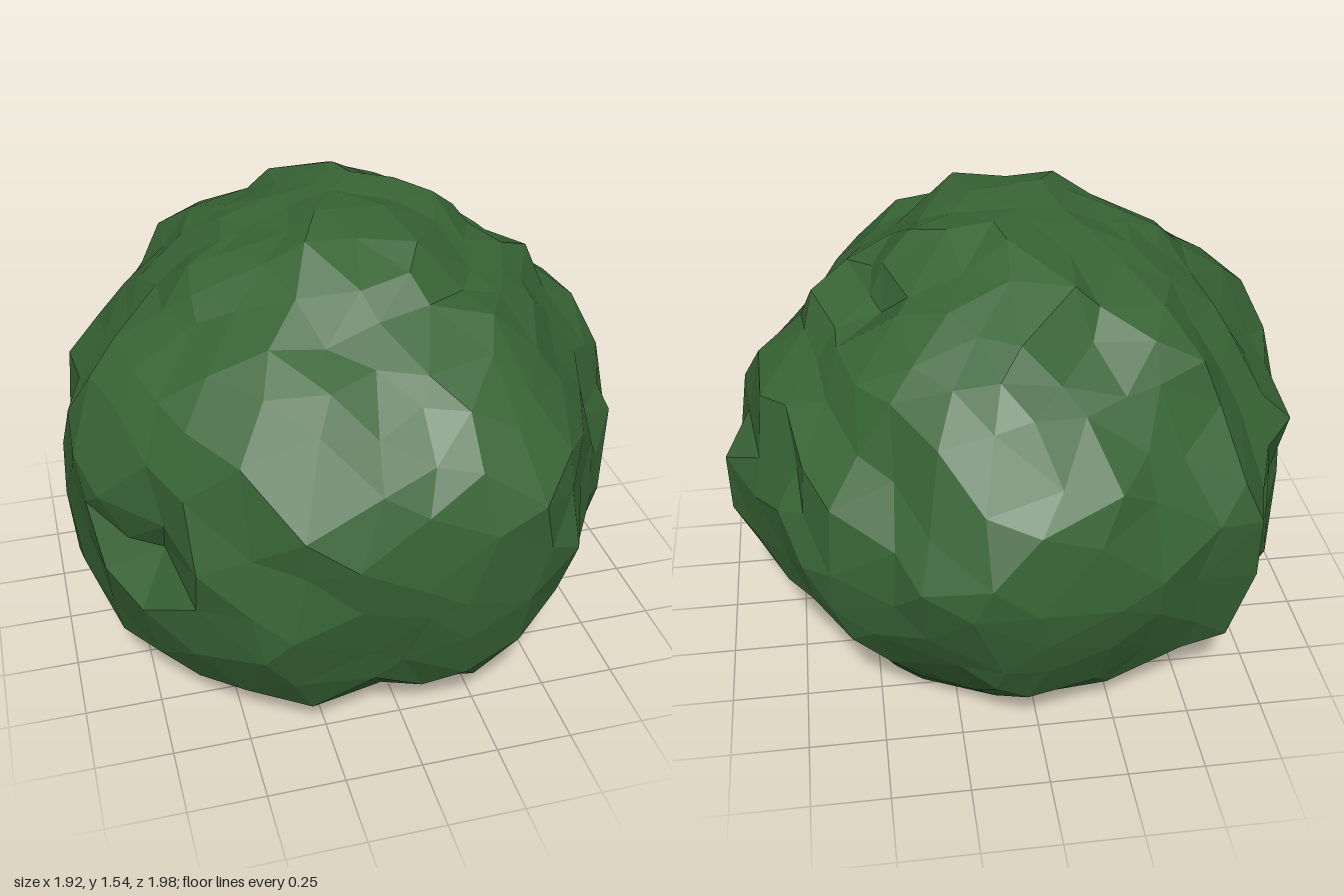
import * as THREE from 'three';

const CENTRE_Y = 0.72;
const BASE_RADIUS = 0.6;

// Outline profiles [distance from axis, height] from crown to base
const PROFILES = {
  right: [[0, 1.52], [0.06, 1.52], [0.35, 1.45], [0.48, 1.34], [0.6, 1.31], [0.7, 1.15], [0.86, 1.04], [0.9, 0.86], [0.98, 0.76], [0.99, 0.6], [0.96, 0.5], [0.82, 0.3], [0.59, 0]],
  left: [[0, 1.51], [0.2, 1.52], [0.33, 1.42], [0.43, 1.42], [0.6, 1.28], [0.82, 1.16], [0.9, 1.02], [0.99, 0.84], [0.95, 0.68], [1, 0.5], [0.86, 0.16], [0.63, 0]],
  front: [[0, 1.52], [0.4, 1.49], [0.5, 1.37], [0.63, 1.31], [0.8, 1.16], [0.9, 1.06], [1, 0.9], [0.99, 0.7], [0.96, 0.5], [0.88, 0.22], [0.7, 0.05], [0.6, 0]],
  back: [[0, 1.52], [0.38, 1.47], [0.65, 1.32], [0.83, 1.14], [0.93, 1], [1, 0.76], [0.86, 0.27], [0.58, 0]],
};

// Plan outline [x, z]
const PLAN = [[0.98, 0.13], [0.83, 0.33], [0.7, 0.58], [0.64, 0.73], [0.52, 0.87], [0.28, 0.98], [-0.1, 0.95], [-0.26, 1], [-0.4, 0.97],
  [-0.57, 0.89], [-0.76, 0.64], [-0.92, 0.5], [-0.93, 0.35], [-0.99, 0.18], [-0.94, -0.12], [-0.92, -0.32], [-0.74, -0.54], [-0.7, -0.77],
  [-0.39, -0.84], [-0.31, -0.94], [-0.12, -0.96], [0.06, -1], [0.2, -0.98], [0.4, -0.88], [0.5, -0.79], [0.62, -0.77], [0.68, -0.7], [0.81, -0.46], [0.93, -0.3]];

// Hollows between leaf clumps (negative depth swells): [x, y, z, depth, angular width]
const HOLLOWS = [[-0.42, 0.78, 0.85, 0.07, 0.15], [-0.78, 1.1, -0.1, 0.11, 0.16], [0.5, 1.3, -0.2, 0.07, 0.14], [0.92, 0.72, 0.03, 0.06, 0.12],
  [0.85, 0.62, -0.35, 0.06, 0.13], [-0.15, 1.35, -0.7, 0.07, 0.14], [0.55, 1.05, -0.68, 0.06, 0.13], [-0.25, 1.5, 0.1, 0.03, 0.12],
  [-0.2, 1.3, 0.58, 0.04, 0.13], [-0.2, 1.5, 0.38, -0.04, 0.14], [0.6, 0.75, 0.7, 0.04, 0.13], [-0.74, 0.72, 0.55, 0.07, 0.16], [-0.55, 1.05, -0.6, 0.08, 0.15]]
  .map(([x, y, z, depth, width]) => ({ dir: new THREE.Vector3(x, y - CENTRE_Y, z).normalize(), depth, width }));

const polar = points => points.map(([a, b]) => [Math.atan2(b, a), Math.hypot(a, b)]).sort((p, q) => p[0] - q[0]);

function lookUp(table, angle) {
  if (angle <= table[0][0]) return table[0][1];
  for (let i = 1; i < table.length; i++) {
    const [a0, r0] = table[i - 1], [a1, r1] = table[i];
    if (angle <= a1) return THREE.MathUtils.lerp(r0, r1, (angle - a0) / (a1 - a0 || 1));
  }
  return table[table.length - 1][1];
}

const sides = {};
for (const [name, points] of Object.entries(PROFILES)) sides[name] = polar(points.map(([d, y]) => [d, y - CENTRE_Y]));
const ring = polar(PLAN);
const plan = [...ring.map(([a, r]) => [a - 2 * Math.PI, r]), ...ring, ...ring.map(([a, r]) => [a + 2 * Math.PI, r])];

// Repeatable value in -1..1 for a direction, equal at coincident corners
function hash(v, seed) {
  const n = Math.round(v.x * 1000) * 12.9898 + Math.round(v.y * 1000) * 78.233 + Math.round(v.z * 1000) * 37.719 + seed * 91.7;
  const s = Math.sin(n) * 43758.5453;
  return (s - Math.floor(s)) * 2 - 1;
}

// Moves a point of the unit sphere to the foliage surface
function foliagePoint(v) {
  const d = new THREE.Vector3(hash(v, 1), hash(v, 2), hash(v, 3)).multiplyScalar(0.055).add(v).normalize();
  const flat = Math.hypot(d.x, d.z) || 1e-6;
  const elevation = Math.atan2(d.y, flat);
  const wx = (d.x / flat) ** 2;
  let r = wx * lookUp(d.x > 0 ? sides.right : sides.left, elevation)
    + (1 - wx) * lookUp(d.z > 0 ? sides.front : sides.back, elevation);
  r *= THREE.MathUtils.lerp(1, lookUp(plan, Math.atan2(d.z, d.x)), flat * flat);
  r += 0.02 * hash(v, 4);
  for (const h of HOLLOWS) r -= h.depth * Math.exp(-((d.angleTo(h.dir) / h.width) ** 2));
  // Cut by the ground plane
  if (d.y < 0) r = Math.min(r, CENTRE_Y / -d.y);
  const p = d.multiplyScalar(r);
  p.y += CENTRE_Y;
  // Gather the lowest points into a clean rim round the flat base
  const reach = Math.hypot(p.x, p.z);
  if (p.y < 0.09) {
    p.y = 0;
    if (reach > 0.43) {
      p.x *= BASE_RADIUS / reach;
      p.z *= BASE_RADIUS / reach;
    }
  }
  return p;
}

export function createModel() {
  const group = new THREE.Group();
  group.name = 'bush';

  const geometry = new THREE.IcosahedronGeometry(1, 5);
  const position = geometry.attributes.position;
  const v = new THREE.Vector3();
  for (let i = 0; i < position.count; i++) {
    const p = foliagePoint(v.fromBufferAttribute(position, i));
    position.setXYZ(i, p.x, p.y, p.z);
  }
  geometry.deleteAttribute('uv');
  geometry.computeVertexNormals();

  const foliage = new THREE.Mesh(geometry, new THREE.MeshStandardMaterial({ color: 0x386435, flatShading: true }));
  foliage.name = 'foliage';
  group.add(foliage);
  return group;
}
